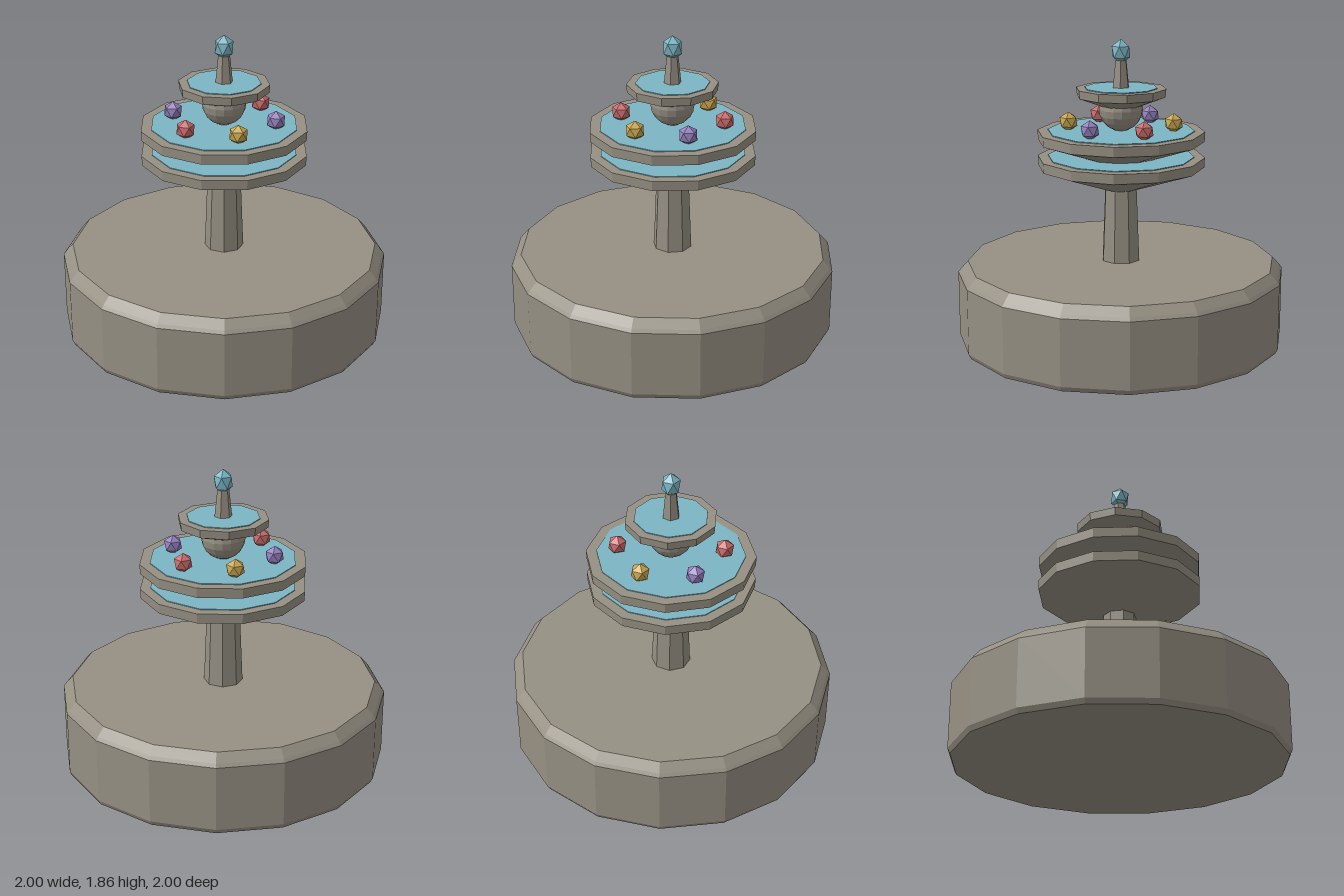
import * as THREE from 'three';

const mat = (name, color) => new THREE.MeshStandardMaterial({ name, color, flatShading: true });

export function createModel() {
  const stone = mat('stone', 0x969083);
  const water = mat('water', 0x7cb5c4);
  const red = mat('red', 0xc96b6b);
  const gold = mat('gold', 0xc9a650);
  const purple = mat('purple', 0x9480bd);

  const root = new THREE.Group();
  root.name = 'fountain';

  const add = (name, geometry, material, x = 0, y = 0, z = 0) => {
    const mesh = new THREE.Mesh(geometry, material);
    mesh.name = name;
    mesh.position.set(x, y, z);
    root.add(mesh);
    return mesh;
  };
  const lathe = (points, sides) =>
    new THREE.LatheGeometry(points.map(([r, y]) => new THREE.Vector2(r, y)), sides);

  // Faceted ball standing on one of its corners
  const gem = (r) => new THREE.IcosahedronGeometry(r, 0)
    .rotateX(-Math.atan((1 + Math.sqrt(5)) / 2))
    .rotateY(-Math.PI / 2);

  // Broad basin with chamfered edges
  add('base', lathe([[0, 0], [0.985, 0], [1, 0.03], [1, 0.43], [0.985, 0.45], [0.94, 0.5], [0, 0.5]], 16), stone);

  // Tapered column
  add('column', new THREE.CylinderGeometry(0.1, 0.12, 0.5, 8), stone, 0, 0.73, 0);

  // Two equal bowls, stacked, each brimming with water
  const bowl = [[0, 0], [0.11, 0], [0.505, 0.136], [0.508, 0.196], [0, 0.196]];
  [['lower', 0.948], ['upper', 1.106]].forEach(([level, y]) => {
    add(level + 'Bowl', lathe(bowl, 12), stone, 0, y, 0);
    add(level + 'Water', new THREE.CylinderGeometry(0.445, 0.445, 0.008, 12), water, 0, y + 0.197, 0);
  });

  // Round neck and small top bowl
  add('neckBall', new THREE.SphereGeometry(0.133, 16, 10), stone, 0, 1.435, 0);
  add('topBowl', lathe([[0, 1.455], [0.12, 1.455], [0.27, 1.512], [0.275, 1.562], [0, 1.562]], 10), stone);
  add('topWater', new THREE.CylinderGeometry(0.222, 0.222, 0.008, 10), water, 0, 1.563, 0);

  // Spire with a water drop
  add('spire', new THREE.CylinderGeometry(0.036, 0.055, 0.18, 6), stone, 0, 1.64, 0);
  add('drop', gem(0.062), water, 0, 1.78, 0).scale.y = 1.22;

  // Ring of six blossoms floating on the upper bowl
  const colors = [red, purple, gold];
  for (let i = 0; i < 6; i++) {
    const a = (i * Math.PI) / 3;
    add('blossom', gem(0.06), colors[i % 3], 0.318 * Math.cos(a), 1.353, 0.318 * Math.sin(a));
  }

  return root;
}
